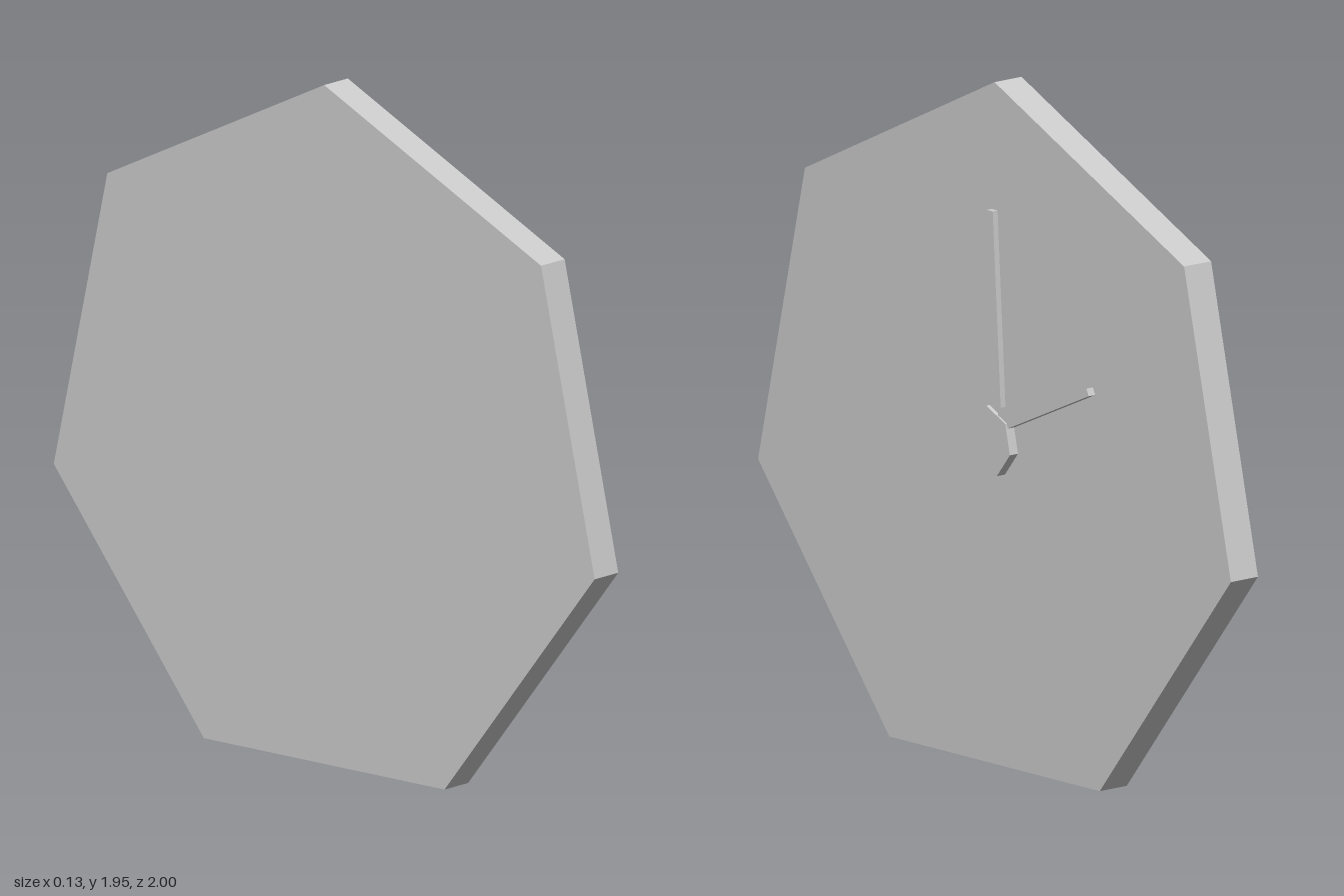
import * as THREE from 'three';

const material = new THREE.MeshStandardMaterial({ color: 0xcccccc, flatShading: true });

// Extrudes an outline of [-z, y] points along x, from x0 to x1
function plate(name, points, x0, x1) {
  const shape = new THREE.Shape(points.map(([u, v]) => new THREE.Vector2(u, v)));
  const geometry = new THREE.ExtrudeGeometry(shape, { depth: x1 - x0, bevelEnabled: false });
  geometry.rotateY(Math.PI / 2).translate(x0, 0, 0);
  const mesh = new THREE.Mesh(geometry, material);
  mesh.name = name;
  return mesh;
}

// Regular seven-sided outline with a corner at the top
function heptagon(radius, centerY) {
  return Array.from({ length: 7 }, (_, i) => {
    const a = Math.PI / 2 + (i * 2 * Math.PI) / 7;
    return [radius * Math.cos(a), centerY + radius * Math.sin(a)];
  });
}

export function createModel() {
  const clock = new THREE.Group();
  clock.name = 'wallClock';
  const back = -0.065, face = 0.035;

  // Seven-sided clock body and the hub in its middle
  clock.add(plate('clockBody', heptagon(1.0257, 0.924), back, face));
  clock.add(plate('hub', heptagon(0.102, 0.927), face - 0.01, 0.065));

  // Tapered hands, each starting under the hub
  clock.add(plate('minuteHand',
    [[-0.049, 0.99], [0.049, 0.99], [0.013, 1.585], [-0.013, 1.585]], face - 0.01, 0.053));
  clock.add(plate('hourHand',
    [[0.03, 0.953], [0.426, 1.13], [0.416, 1.15], [0.047, 1.029]], face - 0.01, 0.059));

  return clock;
}
